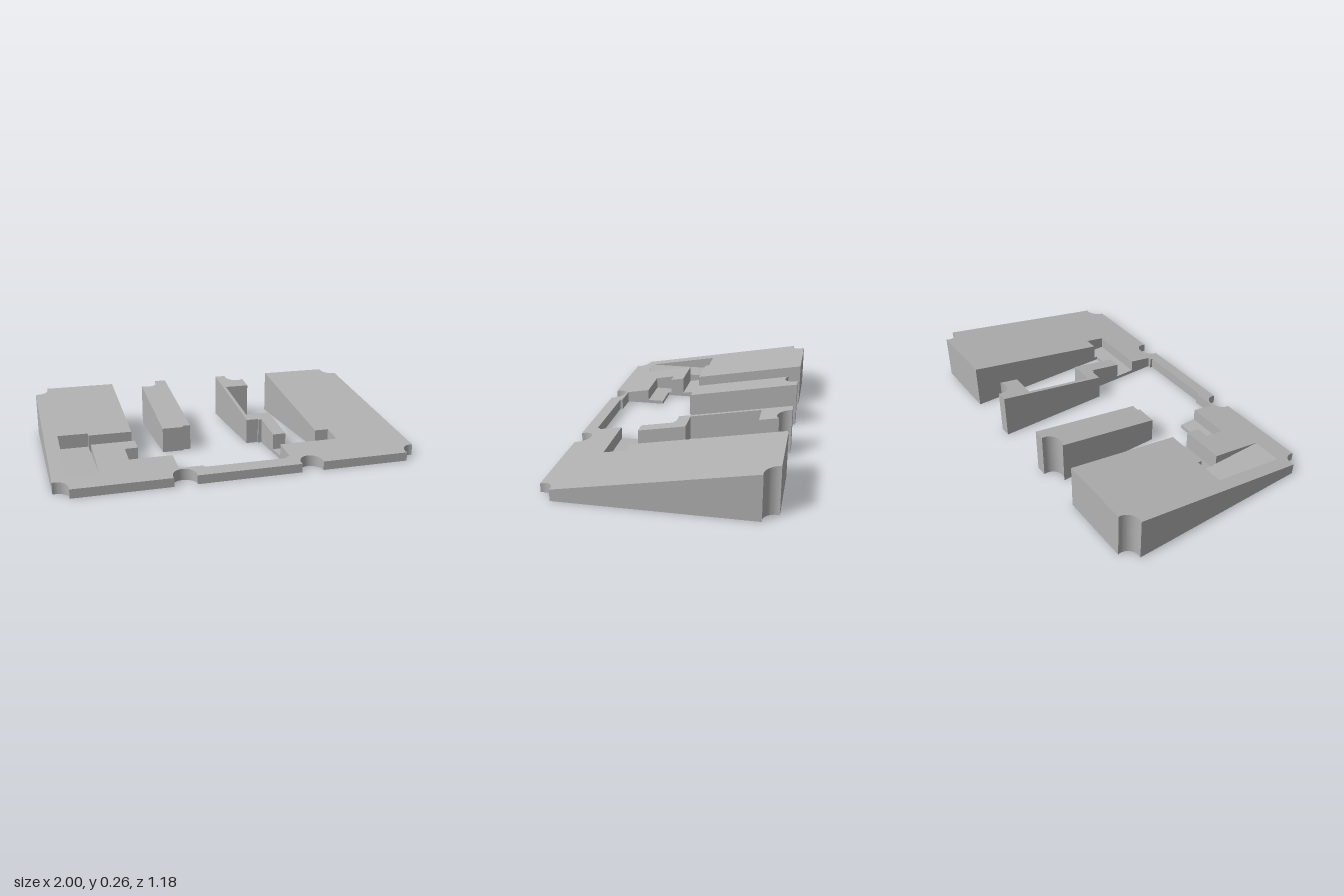
import * as THREE from 'three';
import { toCreasedNormals } from 'three/addons/utils/BufferGeometryUtils.js';

const R = 0.063, E = 0.24; // screw notch radius, angle where a notch runs out over an edge
const slope = (z) => 0.152 - 0.176 * z;

// Points [x, z] along a round notch
function notch(cx, cz, a0, a1) {
  const pts = [];
  for (let i = 0; i <= 16; i++) {
    const a = a0 + (a1 - a0) * i / 16;
    pts.push([cx + R * Math.cos(a), cz + R * Math.sin(a)]);
  }
  return pts;
}

// Prism over an [x, z] outline whose top follows height(z)
function prism(points, height) {
  const shape = new THREE.Shape(points.map(([x, z]) => new THREE.Vector2(x, -z)));
  const g = new THREE.ExtrudeGeometry(shape, { depth: 1, bevelEnabled: false });
  g.rotateX(-Math.PI / 2);
  const p = g.attributes.position;
  for (let i = 0; i < p.count; i++) p.setY(i, p.getY(i) > 0.5 ? height(p.getZ(i)) : 0);
  return toCreasedNormals(g, 0.5);
}

const rect = (x0, x1, z0, z1) => [[x0, z0], [x1, z0], [x1, z1], [x0, z1]];

export function createModel() {
  const group = new THREE.Group();
  const grey = new THREE.MeshStandardMaterial({ color: 0xb2b2b2 });
  const add = (name, points, height) => {
    const mesh = new THREE.Mesh(prism(points, height), grey);
    mesh.name = name;
    group.add(mesh);
  };
  const P = Math.PI, H = P / 2;

  // Wedge frame: two side blocks joined by the front bar, with pockets left open
  add('wedgeFrame', [
    ...notch(-0.985, -0.575, H + E, -E),
    [-0.52, -0.59], [-0.52, 0.065], [-0.76, 0.065], [-0.76, 0.04], [-0.925, 0.04],
    [-0.925, 0.47], [-0.76, 0.47], [-0.76, 0.17], [-0.52, 0.17], [-0.52, 0.25],
    [-0.59, 0.25], [-0.59, 0.365], [-0.355, 0.365], [-0.355, 0.5], [-0.22, 0.5],
    [-0.22, 0.515], [0.24, 0.515], [0.24, 0.5], [0.26, 0.5], [0.26, 0.365],
    [0.6, 0.365], [0.6, 0.25], [0.52, 0.25], [0.52, -0.59],
    ...notch(0.985, -0.575, P + E, H - E),
    ...notch(0.985, 0.575, -H + E, -P - E),
    ...notch(0.36, 0.575, E, -P - E),
    ...notch(-0.34, 0.575, E, -P - E),
    ...notch(-0.985, 0.575, E, -H - E),
  ], slope);

  // Narrow arm with a pocket open towards its outer side
  add('pocketArm', [
    [0.17, -0.59], ...notch(0.295, -0.575, P + E, 0.88),
    [0.335, -0.42], [0.19, -0.42], [0.19, -0.02], [0.335, -0.02], [0.335, 0.25],
    [0.26, 0.25], [0.26, 0.06], [0.24, 0.06], [0.24, 0.05], [0.17, 0.05],
  ], slope);

  // Free-standing narrow wedge
  add('narrowWedge', [
    ...notch(-0.3, -0.575, P - 0.88, -E),
    [-0.175, -0.59], [-0.175, 0.05], [-0.22, 0.05], [-0.22, 0.065], [-0.34, 0.065],
  ], slope);

  // Pocket floors
  const thin = () => 0.02;
  add('armPocketFloor', rect(0.19, 0.335, -0.42, -0.02), thin);
  add('leftSlotFloor', [
    [0.26, 0.25], [0.335, 0.25], [0.335, 0.27], [0.52, 0.27],
    [0.52, 0.25], [0.6, 0.25], [0.6, 0.365], [0.26, 0.365],
  ], thin);
  add('rightSlotFloor', [
    [-0.59, 0.25], [-0.52, 0.25], [-0.52, 0.27], [-0.355, 0.27],
    [-0.355, 0.365], [-0.59, 0.365],
  ], thin);
  add('sidePocketFloor', rect(-0.925, -0.76, 0.04, 0.47), () => 0.068);
  add('sideChannelFloor', rect(-0.76, -0.52, 0.065, 0.17), (z) => slope(z) - 0.1);

  return group;
}
